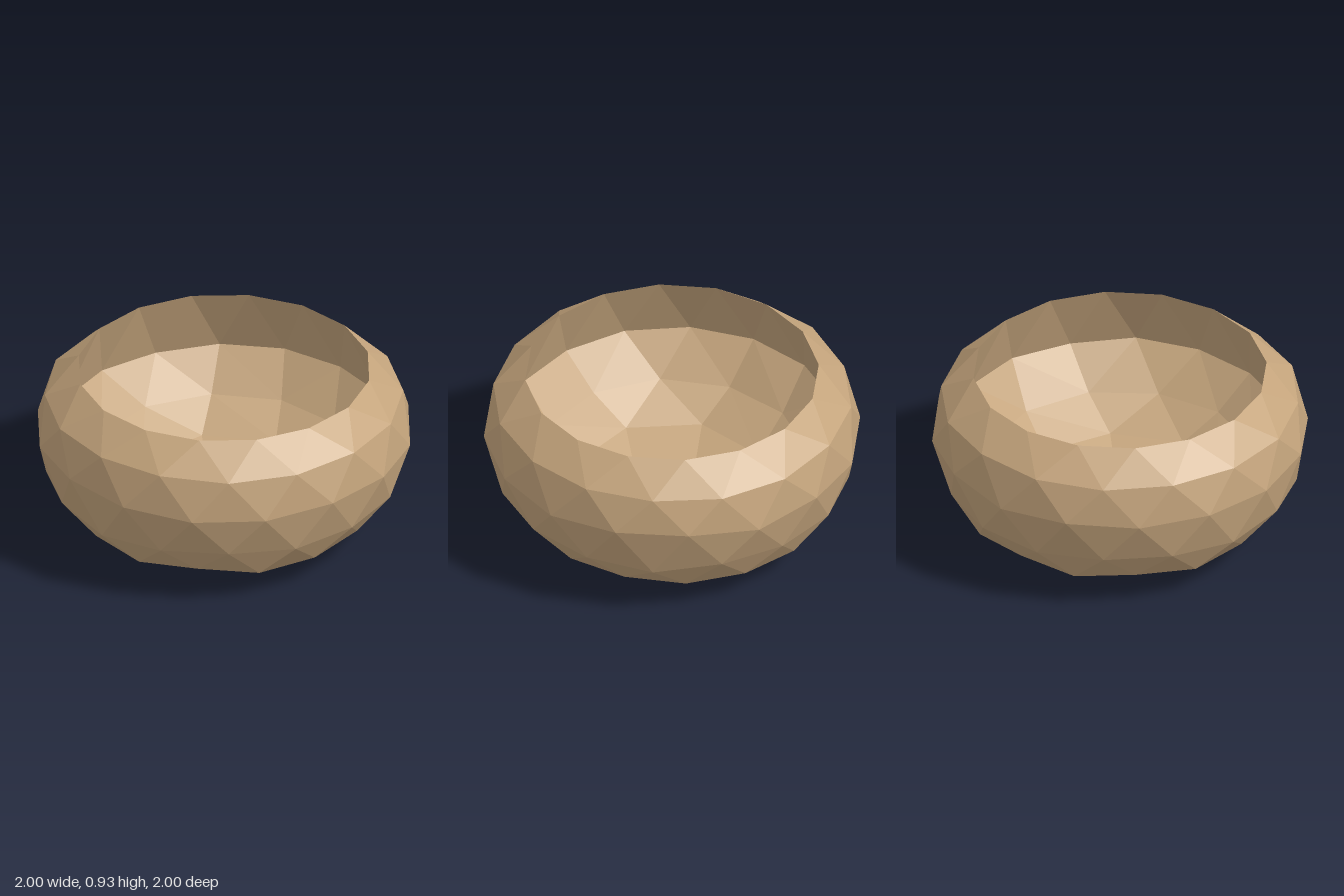
import * as THREE from 'three';

// Small seeded wobble in the range -1..1, for a hand-carved look
function makeWobble(seed) {
  let s = seed;
  return () => {
    s = (s * 16807) % 2147483647;
    return (s / 2147483647) * 2 - 1;
  };
}

// Closed ring of points, starting at the front and turning towards +x
function makeRing([r, y, n, offset, wobbleR, wobbleY], wobble) {
  const points = [];
  for (let i = 0; i < n; i++) {
    const a = ((i + offset) / n) * Math.PI * 2;
    const radius = r - Math.abs(wobble()) * wobbleR;
    points.push([radius * Math.sin(a), y + wobble() * wobbleY, radius * Math.cos(a)]);
  }
  return { points, n, offset };
}

// Fill the band between two rings with triangles, even if their counts differ
function stitch(a, b, out) {
  const A = (i) => a.points[i % a.n];
  const B = (j) => b.points[j % b.n];
  let i = 0;
  let j = 0;
  while (i < a.n || j < b.n) {
    const midA = (i + 0.5 + a.offset) / a.n;
    const midB = (j + 0.5 + b.offset) / b.n;
    if (j >= b.n || (i < a.n && midA <= midB)) {
      if (a.n > 1) out.push(...A(i), ...A(i + 1), ...B(j));
      i++;
    } else {
      if (b.n > 1) out.push(...A(i), ...B(j + 1), ...B(j));
      j++;
    }
  }
}

// Faceted surface through a list of rings
function facetedSurface(rings) {
  const positions = [];
  for (let k = 0; k < rings.length - 1; k++) stitch(rings[k], rings[k + 1], positions);
  const geometry = new THREE.BufferGeometry();
  geometry.setAttribute('position', new THREE.Float32BufferAttribute(positions, 3));
  geometry.computeVertexNormals();
  return geometry;
}

export function createModel() {
  const group = new THREE.Group();
  group.name = 'bowl';
  const wood = new THREE.MeshStandardMaterial({ color: 0xc4a47c });
  wood.name = 'light wood';
  const wobble = makeWobble(77);

  // Each ring: radius, height, sides, turn offset, radius wobble, height wobble
  const outer = [
    [0, 0, 1, 0, 0, 0],
    [0.53, 0, 12, 0.5, 0.02, 0],
    [0.85, 0.17, 16, 0, 0.02, 0.02],
    [0.945, 0.32, 16, 0.5, 0.01, 0.02],
    [1, 0.57, 16, 0, 0, 0.02],
    [0.955, 0.78, 16, 0.5, 0.01, 0.01],
    [0.78, 0.93, 16, 0, 0, 0],
  ].map((ring) => makeRing(ring, wobble));

  // Undercut wall below the rim, then the hollow down to the middle
  const inner = [
    [0.9, 0.56, 16, 0.5, 0.01, 0.01],
    [0.73, 0.35, 12, 0, 0.02, 0.01],
    [0.53, 0.22, 8, 0.5, 0.02, 0.01],
    [0.28, 0.13, 5, 0.3, 0.03, 0.01],
    [0, 0.1, 1, 0, 0, 0],
  ].map((ring) => makeRing(ring, wobble));

  const shell = new THREE.Mesh(facetedSurface(outer), wood);
  shell.name = 'outerShell';
  const hollow = new THREE.Mesh(facetedSurface([outer[outer.length - 1], ...inner]), wood);
  hollow.name = 'innerHollow';
  group.add(shell, hollow);
  return group;
}
